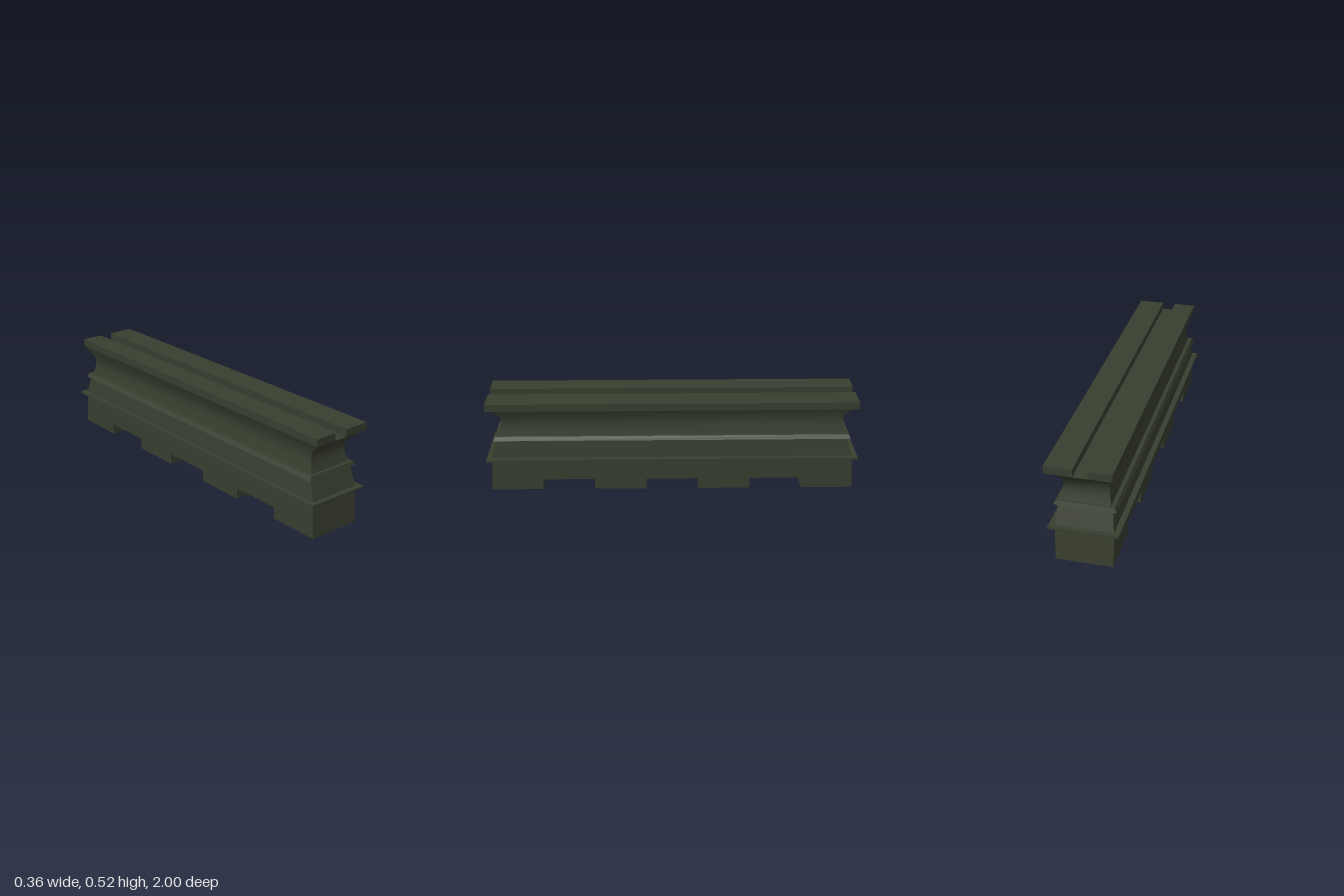
import * as THREE from 'three';

const CX = -0.0065; // the body sits slightly off the overall centre line

// Rectangular loft through rings [y, half width, half length]; each side is smooth along its height.
function loft(rings) {
  const corners = [[1, 1], [1, -1], [-1, -1], [-1, 1]];
  const pos = [], idx = [];
  for (let s = 0; s < 4; s++) {
    const start = pos.length / 3;
    rings.forEach(([y, hx, hz], r) => {
      for (const [sx, sz] of [corners[s], corners[(s + 1) % 4]]) pos.push(CX + sx * hx, y, sz * hz);
      if (r > 0) {
        const a = start + (r - 1) * 2;
        idx.push(a, a + 1, a + 3, a, a + 3, a + 2);
      }
    });
  }
  // Bottom and top caps
  [rings[0], rings[rings.length - 1]].forEach(([y, hx, hz], top) => {
    const a = pos.length / 3;
    for (const [sx, sz] of corners) pos.push(CX + sx * hx, y, sz * hz);
    if (top) idx.push(a, a + 1, a + 2, a, a + 2, a + 3);
    else idx.push(a, a + 2, a + 1, a, a + 3, a + 2);
  });
  const g = new THREE.BufferGeometry();
  g.setAttribute('position', new THREE.Float32BufferAttribute(pos, 3));
  g.setIndex(idx);
  g.computeVertexNormals();
  return g;
}

export function createModel() {
  const model = new THREE.Group();
  model.name = 'parapetWall';
  const stone = new THREE.MeshStandardMaterial({ color: 0x383e2f });
  stone.name = 'darkOliveStone';

  const add = (name, geometry) => {
    const mesh = new THREE.Mesh(geometry, stone);
    mesh.name = name;
    model.add(mesh);
    return mesh;
  };

  // Base with three notches cut through the underside, leaving four feet
  const side = new THREE.Shape();
  side.moveTo(-0.984, 0);
  for (const z of [-0.563, 0, 0.563]) {
    side.lineTo(z - 0.141, 0);
    side.lineTo(z - 0.141, 0.06);
    side.lineTo(z + 0.141, 0.06);
    side.lineTo(z + 0.141, 0);
  }
  side.lineTo(0.984, 0);
  side.lineTo(0.972, 0.187);
  side.lineTo(-0.972, 0.187);
  side.closePath();
  const base = new THREE.ExtrudeGeometry(side, { depth: 0.291, bevelEnabled: false });
  base.translate(0, 0, -0.1455).rotateY(-Math.PI / 2).translate(CX, 0, 0);
  add('base', base);

  // Stacked body and mouldings
  add('lowerLedge', loft([[0.181, 0.175, 1], [0.193, 0.175, 1]]));
  add('middleBody', loft([[0.193, 0.1455, 0.972], [0.297, 0.1345, 0.94]]));
  add('upperLedge', loft([[0.297, 0.1555, 0.956], [0.318, 0.1435, 0.949]]));
  add('flaredNeck', loft([
    [0.318, 0.1235, 0.932], [0.37, 0.113, 0.917], [0.42, 0.113, 0.917], [0.483, 0.1455, 0.984],
  ]));

  // Two top rails with a channel between them
  for (const [name, x0, x1] of [['rightRail', -0.152, -0.033], ['leftRail', 0.041, 0.181]]) {
    const rail = add(name, new THREE.BoxGeometry(x1 - x0, 0.04, 1.968));
    rail.position.set((x0 + x1) / 2, 0.503, 0);
  }
  return model;
}
